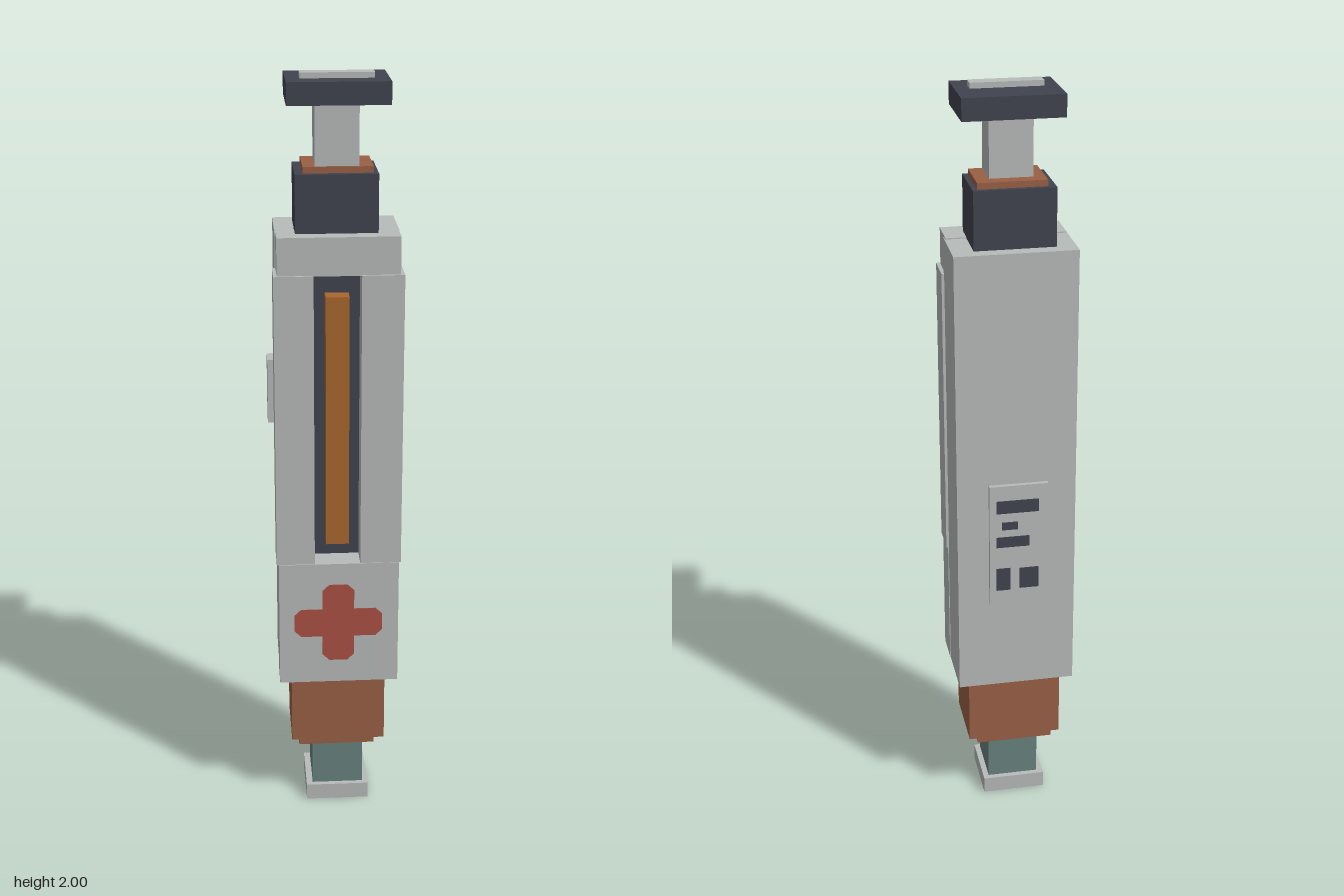
import * as THREE from 'three';

const material = (name, color) => {
  const m = new THREE.MeshStandardMaterial({ color });
  m.name = name;
  return m;
};

export function createModel() {
  const grey = material('pale grey', 0xb7bbb9);
  const dark = material('dark slate', 0x40444e);
  const copper = material('copper brown', 0x9a6045);
  const teal = material('dull teal', 0x68827e);
  const amber = material('amber', 0xa8682e);
  const red = material('red', 0xaa5142);

  const model = new THREE.Group();
  model.name = 'injector';

  // Box given by its limits on each axis
  const box = (name, mat, [x0, x1], [y0, y1], [z0, z1], parent = model) => {
    const mesh = new THREE.Mesh(new THREE.BoxGeometry(x1 - x0, y1 - y0, z1 - z0), mat);
    mesh.position.set((x0 + x1) / 2, (y0 + y1) / 2, (z0 + z1) / 2);
    mesh.name = name;
    parent.add(mesh);
    return mesh;
  };

  // Tip at the bottom
  box('foot', grey, [-0.08, 0.09], [0, 0.045], [-0.075, 0.095]);
  box('tip', teal, [-0.063, 0.075], [0.045, 0.17], [-0.06, 0.081]);
  box('tipRing', copper, [-0.1, 0.107], [0.17, 0.195], [-0.075, 0.084]);
  box('lowerCollar', copper, [-0.12, 0.133], [0.195, 0.39], [-0.09, 0.101]);

  // Casing: back shell with front blocks around a recessed window
  box('backShell', grey, [-0.15, 0.163], [0.387, 1.61], [-0.118, 0.045]);
  box('lowerFront', grey, [-0.152, 0.165], [0.39, 0.738], [0.04, 0.129]);
  box('upperFront', grey, [-0.148, 0.16], [1.515, 1.613], [0.025, 0.12]);
  box('rightFrontRail', grey, [-0.157, -0.057], [0.738, 1.517], [0.037, 0.126]);
  box('leftFrontRail', grey, [0.063, 0.17], [0.738, 1.517], [0.037, 0.127]);
  box('windowBack', dark, [-0.057, 0.063], [0.738, 1.517], [0.045, 0.06]);
  box('vial', amber, [-0.026, 0.034], [0.785, 1.457], [0.06, 0.105]);
  box('sideLatch', grey, [-0.172, -0.15], [1.105, 1.275], [-0.02, 0.038]);

  // Cross with clipped corners on the lower front
  const arm = 0.117, half = 0.042, clip = 0.018;
  const cross = new THREE.Shape();
  for (let i = 0; i < 4; i++) {
    const a = (i * Math.PI) / 2, c = Math.cos(a), s = Math.sin(a);
    const corners = [[half, -half], [arm - clip, -half], [arm, -half + clip],
      [arm, half - clip], [arm - clip, half]];
    corners.forEach(([x, y], j) => {
      const px = x * c - y * s, py = x * s + y * c;
      if (i + j === 0) cross.moveTo(px, py);
      else cross.lineTo(px, py);
    });
  }
  cross.closePath();
  const emblem = new THREE.Mesh(
    new THREE.ExtrudeGeometry(cross, { depth: 0.003, bevelEnabled: false }), red);
  emblem.position.set(0.005, 0.567, 0.128);
  emblem.scale.y = 0.95;
  emblem.name = 'frontCross';
  model.add(emblem);

  // Back plate with plain dark marks
  const label = new THREE.Group();
  label.name = 'backLabel';
  model.add(label);
  box('labelPlate', grey, [-0.075, 0.08], [0.645, 0.99], [-0.13, -0.117], label);
  const marks = [
    [-0.05, 0.062, 0.93, 0.036],
    [0.005, 0.048, 0.875, 0.022],
    [-0.025, 0.062, 0.828, 0.03],
    [0.025, 0.062, 0.718, 0.065],
    [-0.05, 0.0, 0.718, 0.06],
  ];
  for (const [x0, x1, y, h] of marks) {
    box('labelMark', dark, [x0, x1], [y - h / 2, y + h / 2], [-0.132, -0.129], label);
  }

  // Plunger at the top
  box('upperCollar', dark, [-0.1, 0.107], [1.61, 1.76], [-0.083, 0.081]);
  box('plungerRing', copper, [-0.08, 0.095], [1.76, 1.776], [-0.07, 0.066]);
  box('plungerShaft', grey, [-0.05, 0.06], [1.776, 1.93], [-0.036, 0.06]);
  box('plungerPlate', dark, [-0.12, 0.134], [1.93, 1.986], [-0.088, 0.104]);
  box('thumbRidge', grey, [-0.085, 0.098], [1.986, 2], [0.008, 0.046]);

  return model;
}
